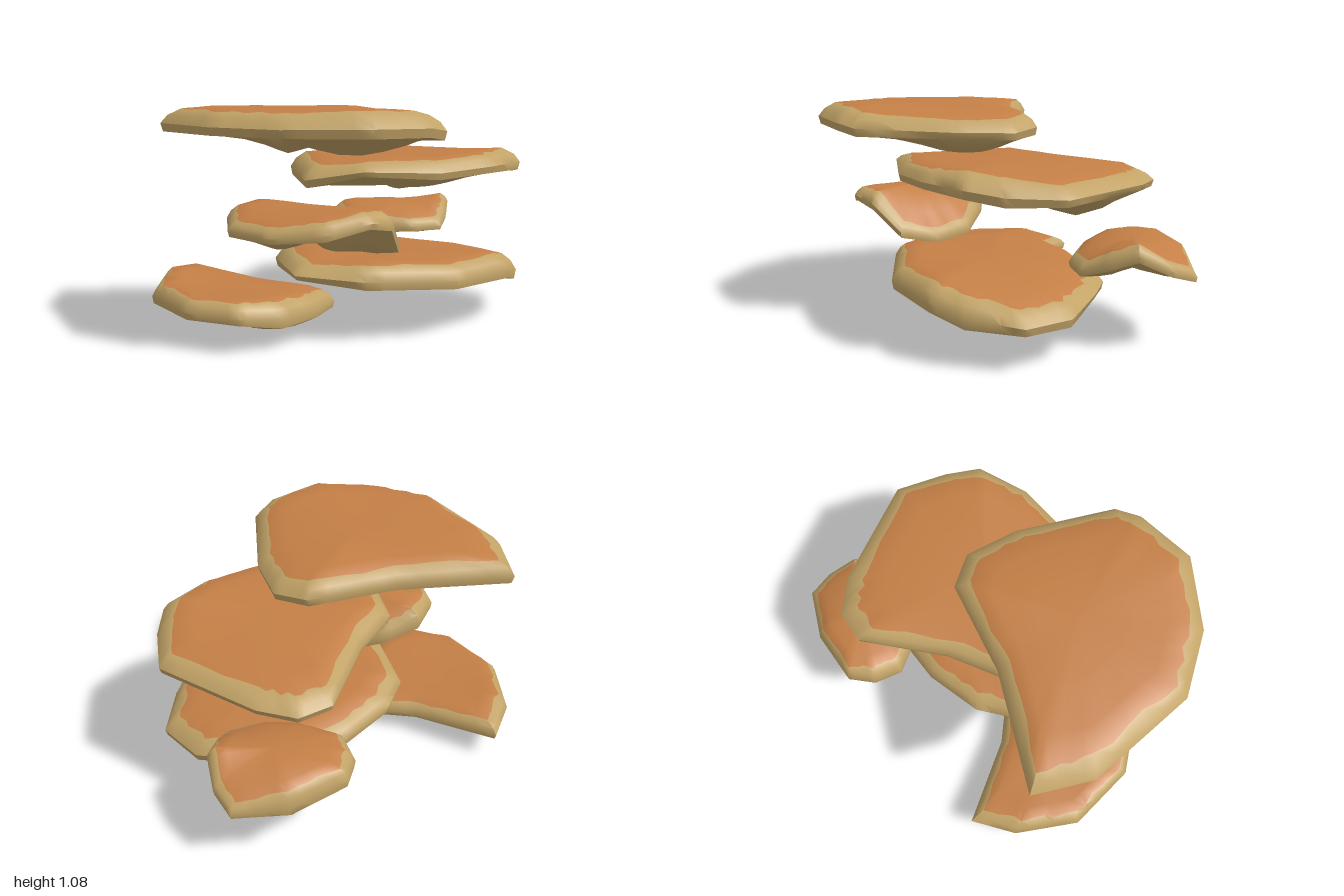
import * as THREE from 'three';
import { toCreasedNormals } from 'three/addons/utils/BufferGeometryUtils.js';

const { lerp } = THREE.MathUtils;

// Seeded noise for the ragged edge of the coloured top
function seeded(seed) {
  return () => (seed = (seed * 16807) % 2147483647) / 2147483647;
}

// Outline corners (x, z, shoulder y, rim y) joined by edges of five steps each
function subdivide(corners) {
  return corners.flatMap((p, i) => {
    const q = corners[(i + 1) % corners.length];
    return [0, 0.2, 0.4, 0.6, 0.8].map((t) => p.map((v, j) => lerp(v, q[j], t)));
  });
}

// A slab between a top centre and a base height, with conical lumps
// (x, z, depth, radius) hanging from its underside.
function ledgeGeometry({ centre: [cx, cy, cz], base, lumps, outline }, seed) {
  const random = seeded(seed);
  const border = subdivide(outline);
  const positions = [];

  // One section per border point: top centre, shoulder, rim, underside centre
  for (const [x, z, shoulder, rim] of border) {
    const at = (s, y) => positions.push(lerp(cx, x, s), y, lerp(cz, z, s));
    at(0, cy);
    at(0.4, lerp(cy, shoulder, 0.25));
    at(0.7, lerp(cy, shoulder, 0.65));
    const paint = 0.87 + (random() - 0.5) * 0.05;
    at(paint, lerp(shoulder, rim, (paint - 0.83) * 1.2));
    at(0.95, lerp(shoulder, rim, 0.3));
    at(1, lerp(shoulder, rim, 0.65));
    at(0.985, rim);
    for (const s of [0.8, 0.6, 0.4, 0.2, 0]) {
      const px = lerp(cx, x, s);
      const pz = lerp(cz, z, s);
      const hang = lumps.reduce((sum, [lx, lz, depth, radius]) =>
        sum + depth * Math.max(0, 1 - Math.hypot(px - lx, pz - lz) / radius), 0);
      at(s, lerp(base, rim, s) - hang);
    }
  }

  // Join the sections; the first three rings are the coloured top
  const rings = 12;
  const index = [];
  let topCount = 0;
  for (let r = 0; r < rings - 1; r++) {
    if (r === 3) topCount = index.length;
    for (let i = 0; i < border.length; i++) {
      const p = i * rings + r;
      const q = ((i + 1) % border.length) * rings + r;
      if (r < rings - 2) index.push(p, p + 1, q + 1);
      else index.push(p, p + 1, q);
      if (r > 0 && r < rings - 2) index.push(p, q + 1, q);
    }
  }
  const geometry = new THREE.BufferGeometry();
  geometry.setAttribute('position', new THREE.Float32BufferAttribute(positions, 3));
  geometry.setIndex(index);
  geometry.addGroup(0, topCount, 0);
  geometry.addGroup(topCount, index.length - topCount, 1);
  return toCreasedNormals(geometry, 0.85);
}

export function createModel() {
  const group = new THREE.Group();
  group.name = 'stackedLedges';
  const orange = new THREE.MeshStandardMaterial({ color: 0xc47f46 });
  orange.name = 'orange top';
  const tan = new THREE.MeshStandardMaterial({ color: 0xc2a367 });
  tan.name = 'tan rim';

  function addLedge(name, shape) {
    const mesh = new THREE.Mesh(ledgeGeometry(shape, 101 + group.children.length * 37), [orange, tan]);
    mesh.name = name;
    group.add(mesh);
  }

  addLedge('topLedge', {
    centre: [-0.42, 1.07, 0.12], base: 0.93,
    lumps: [[-0.28, 0.2, 0.1, 0.4], [0, 0.25, 0.05, 0.3], [-0.83, 0.3, 0.06, 0.2]],
    outline: [[-0.45, 0.75, 1.07, 0.96], [-0.32, 0.74, 1.05, 0.94], [0.05, 0.42, 1.02, 0.93],
      [0.2, 0.2, 1.02, 0.92], [0.17, 0.02, 1.04, 0.93], [-0.2, -0.25, 1.04, 0.93], [-0.58, -0.68, 1.05, 0.93],
      [-0.8, -0.49, 1.06, 0.95], [-1, 0.02, 1.07, 0.97], [-0.94, 0.35, 1.07, 0.97], [-0.74, 0.66, 1.08, 0.97]],
  });

  addLedge('upperMiddleLedge', {
    centre: [0.12, 0.83, 0.22], base: 0.71,
    lumps: [[0.4, 0.05, 0.13, 0.32], [0.55, 0.1, 0.04, 0.25], [-0.05, 0.35, 0.06, 0.4]],
    outline: [[0.42, 0.74, 0.85, 0.74], [0.57, 0.64, 0.83, 0.71], [0.75, 0.45, 0.8, 0.71],
      [0.72, -0.1, 0.79, 0.71], [0.65, -0.28, 0.79, 0.7], [0.5, -0.36, 0.8, 0.71], [0.08, -0.23, 0.82, 0.72],
      [-0.22, -0.2, 0.83, 0.71], [-0.54, 0.15, 0.81, 0.71], [-0.45, 0.4, 0.83, 0.77], [-0.15, 0.62, 0.83, 0.74],
      [0.15, 0.73, 0.84, 0.75]],
  });

  addLedge('smallRightLedge', {
    centre: [-0.53, 0.64, 0.17], base: 0.55,
    lumps: [[-0.76, 0.2, 0.05, 0.18], [-0.4, 0.17, 0.08, 0.2]],
    outline: [[-0.45, 0.56, 0.64, 0.55], [-0.3, 0.5, 0.5, 0.42], [-0.23, 0.33, 0.45, 0.38],
      [-0.24, 0.1, 0.47, 0.39], [-0.35, -0.1, 0.56, 0.46], [-0.5, -0.22, 0.63, 0.52], [-0.7, -0.18, 0.63, 0.53],
      [-0.85, -0.03, 0.59, 0.52], [-0.87, 0.22, 0.59, 0.52], [-0.77, 0.44, 0.62, 0.54], [-0.6, 0.55, 0.65, 0.58]],
  });

  addLedge('smallLeftLedge', {
    centre: [0.65, 0.48, -0.13], base: 0.36,
    lumps: [[0.72, -0.28, 0.06, 0.25], [0.6, 0, 0.04, 0.2]],
    outline: [[0.6, 0.2, 0.41, 0.34], [0.73, 0.16, 0.47, 0.38], [0.85, 0.1, 0.51, 0.43], [0.95, -0.02, 0.43, 0.36],
      [0.99, -0.15, 0.39, 0.32], [0.81, -0.35, 0.44, 0.31], [0.55, -0.48, 0.46, 0.35], [0.42, -0.43, 0.46, 0.34],
      [0.33, -0.31, 0.45, 0.33], [0.36, -0.08, 0.43, 0.33], [0.45, 0.1, 0.41, 0.34]],
  });

  addLedge('lowerMiddleLedge', {
    centre: [0.08, 0.35, 0.27], base: 0.2,
    lumps: [[0.3, 0.15, 0.13, 0.36], [0.48, 0.05, 0.08, 0.3], [-0.1, 0.35, 0.02, 0.3]],
    outline: [[0.25, 0.79, 0.35, 0.23], [0.42, 0.74, 0.32, 0.18], [0.65, 0.6, 0.27, 0.17],
      [0.69, 0.35, 0.27, 0.16], [0.6, 0.08, 0.28, 0.21], [0.5, -0.1, 0.3, 0.2], [0.2, -0.24, 0.33, 0.22],
      [-0.1, -0.29, 0.35, 0.24], [-0.3, -0.24, 0.37, 0.25], [-0.58, 0.12, 0.35, 0.29], [-0.45, 0.42, 0.37, 0.26],
      [-0.12, 0.7, 0.35, 0.24]],
  });

  addLedge('bottomLedge', {
    centre: [-0.58, 0.21, -0.27], base: 0.1,
    lumps: [[-0.5, -0.14, 0.1, 0.35]],
    outline: [[-0.45, 0.15, 0.2, 0.09], [-0.22, 0.07, 0.17, 0.07], [-0.17, -0.05, 0.16, 0.07],
      [-0.29, -0.35, 0.18, 0.1], [-0.35, -0.8, 0.21, 0.13], [-0.58, -0.75, 0.24, 0.13], [-0.84, -0.55, 0.23, 0.13],
      [-0.95, -0.2, 0.23, 0.14], [-0.88, 0.05, 0.23, 0.14], [-0.7, 0.15, 0.22, 0.1]],
  });

  return group;
}
